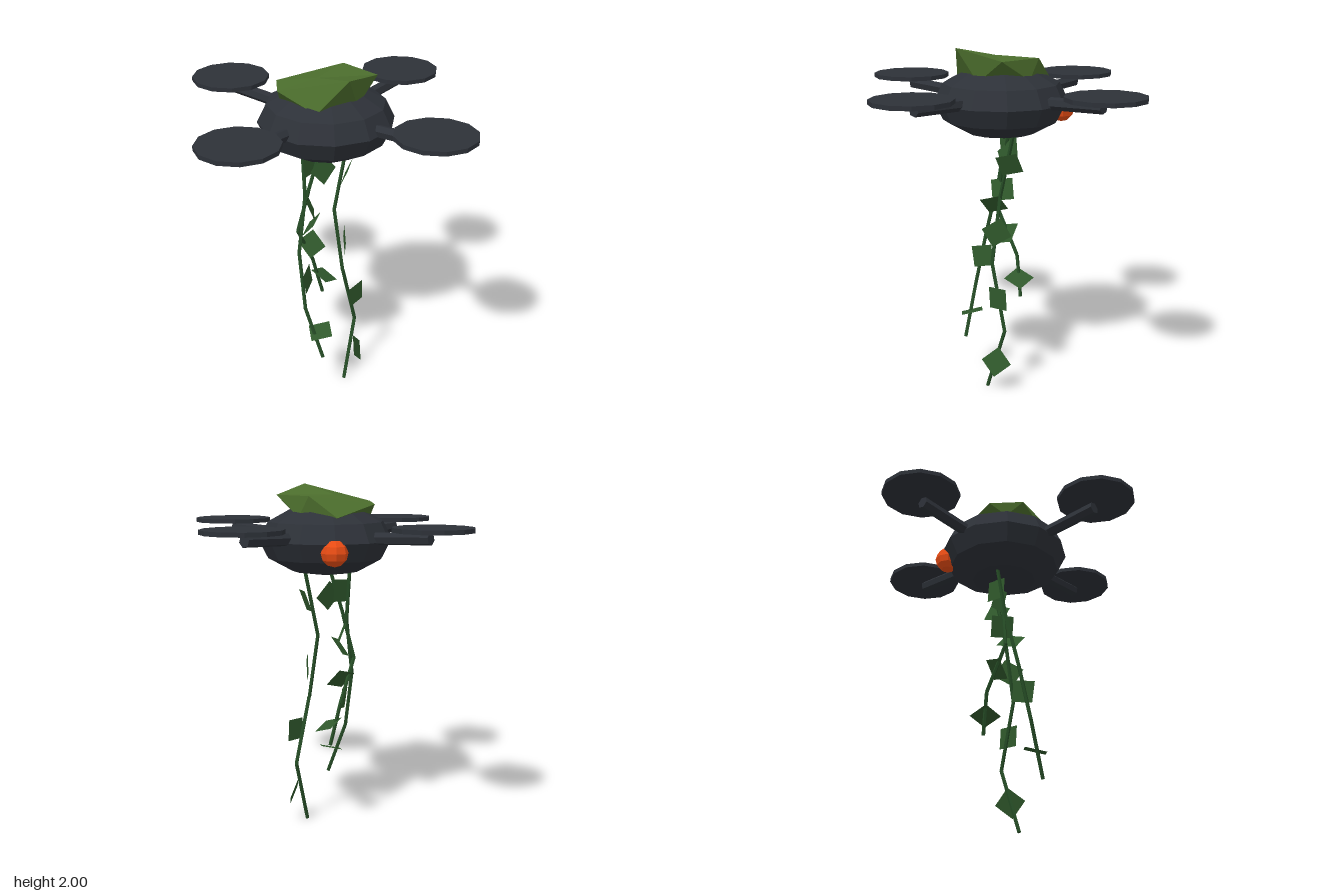
import * as THREE from 'three';

const mat = (color, side = THREE.FrontSide) =>
  new THREE.MeshStandardMaterial({ color, flatShading: true, side });

const V = (p) => new THREE.Vector3(...p);

// Straight rod between two points
function rod(a, b, radius, sides, material) {
  const from = V(a), to = V(b);
  const dir = to.clone().sub(from);
  const mesh = new THREE.Mesh(new THREE.CylinderGeometry(radius, radius, dir.length(), sides), material);
  mesh.position.copy(from).add(to).multiplyScalar(0.5);
  mesh.quaternion.setFromUnitVectors(new THREE.Vector3(0, 1, 0), dir.normalize());
  return mesh;
}

// Irregular moss clump: crown point, upper ring, lower ring, base point
function mossGeometry() {
  const crown = [-0.05, 1.945, 0.03], base = [0, 1.76, 0];
  const upper = [[0.09, 2.0, 0.255], [0.275, 1.945, 0.02], [0.12, 1.945, -0.195], [-0.26, 1.895, -0.1], [-0.27, 1.905, 0.1]];
  const lower = [[0.15, 1.82, 0.14], [0.17, 1.83, -0.14], [-0.025, 1.83, -0.27], [-0.25, 1.82, 0], [-0.08, 1.82, 0.24]];
  const pos = [];
  for (let i = 0; i < 5; i++) {
    const j = (i + 1) % 5;
    pos.push(...crown, ...upper[i], ...upper[j]);
    pos.push(...upper[i], ...lower[i], ...upper[j]);
    pos.push(...upper[j], ...lower[i], ...lower[j]);
    pos.push(...lower[i], ...base, ...lower[j]);
  }
  const g = new THREE.BufferGeometry();
  g.setAttribute('position', new THREE.Float32BufferAttribute(pos, 3));
  g.computeVertexNormals();
  return g;
}

export function createModel() {
  const model = new THREE.Group();
  const shell = mat(0x2d3138);
  const add = (name, geometry, material, x, y, z) => {
    const mesh = new THREE.Mesh(geometry, material);
    mesh.name = name;
    mesh.position.set(x, y, z);
    model.add(mesh);
    return mesh;
  };

  // Flattened hull
  add('body', new THREE.SphereGeometry(0.378, 12, 6), shell, 0, 1.697, 0).scale.y = 0.54;

  // Four diagonal arms with rotor discs
  for (const sx of [-1, 1]) {
    for (const sz of [-1, 1]) {
      const arm = rod([sx * 0.22, 1.715, sz * 0.22], [sx * 0.487, 1.732, sz * 0.487], 0.035, 6, shell);
      arm.name = 'arm';
      model.add(arm);
      add('rotorDisc', new THREE.CylinderGeometry(0.222, 0.222, 0.024, 12), shell, sx * 0.497, 1.781, sz * 0.497);
    }
  }

  // Lamp on the back
  add('lamp', new THREE.SphereGeometry(0.075, 8, 6), mat(0xe84c14), 0, 1.65, -0.34);

  // Moss on top
  add('moss', mossGeometry(), mat(0x4c6e2d, THREE.DoubleSide), 0, 0, 0);

  // Hanging vines; each leaf is [centre, facing direction, roll in degrees]
  const vines = [
    {
      path: [[0.13, 1.55, -0.06], [0.045, 1.15, 0.01], [0.09, 0.77, 0.06], [0.175, 0.38, -0.005], [0.1, 0.003, 0.09]],
      leaves: [
        [[0.12, 1.355, -0.035], [0.9, -0.4, 0.25], 15],
        [[0.103, 0.955, 0.035], [1, 0, 0.05], 30],
        [[0.175, 0.58, 0.035], [0.7, 0, 0.7], 4],
        [[0.185, 0.19, 0.045], [0.9, 0.3, 0.3], 40],
      ],
    },
    {
      path: [[-0.13, 1.55, -0.05], [-0.12, 1.23, 0], [-0.165, 0.9, 0.07], [-0.14, 0.57, 0.14], [-0.045, 0.26, 0.21]],
      leaves: [
        [[-0.078, 1.41, -0.05], [0.7, 0, 0.7], 5],
        [[-0.09, 1.07, 0.035], [0.75, -0.6, 0.2], 20],
        [[-0.12, 0.745, 0.1], [0.9, 0.1, 0.4], 10],
        [[-0.055, 0.42, 0.17], [-0.2, 0.95, 0.2], 45],
      ],
    },
    {
      path: [[-0.01, 1.55, -0.05], [-0.1, 1.26, -0.01], [-0.165, 1.01, 0], [-0.07, 0.76, -0.1], [-0.01, 0.52, -0.115]],
      leaves: [
        [[-0.013, 1.38, -0.03], [0.5, 0.2, 0.85], 40],
        [[-0.09, 1.16, -0.015], [0.9, 0.35, 0.1], 5],
        [[-0.08, 0.895, -0.045], [0.3, 0.6, 0.7], 20],
        [[0, 0.64, -0.105], [0.45, 0.9, 0], 45],
      ],
    },
  ];
  const vineMat = mat(0x264d26);
  const leafMat = mat(0x30592c, THREE.DoubleSide);
  const leafGeo = new THREE.PlaneGeometry(0.125, 0.125);
  for (const { path, leaves } of vines) {
    const vine = new THREE.Group();
    vine.name = 'vine';
    for (let i = 0; i < path.length - 1; i++) {
      const stem = rod(path[i], path[i + 1], 0.011, 5, vineMat);
      stem.name = 'stem';
      vine.add(stem);
    }
    for (const [centre, facing, roll] of leaves) {
      const leaf = new THREE.Mesh(leafGeo, leafMat);
      leaf.name = 'leaf';
      leaf.position.set(...centre);
      leaf.lookAt(V(centre).add(V(facing)));
      leaf.rotateZ(THREE.MathUtils.degToRad(roll));
      vine.add(leaf);
    }
    model.add(vine);
  }
  return model;
}
